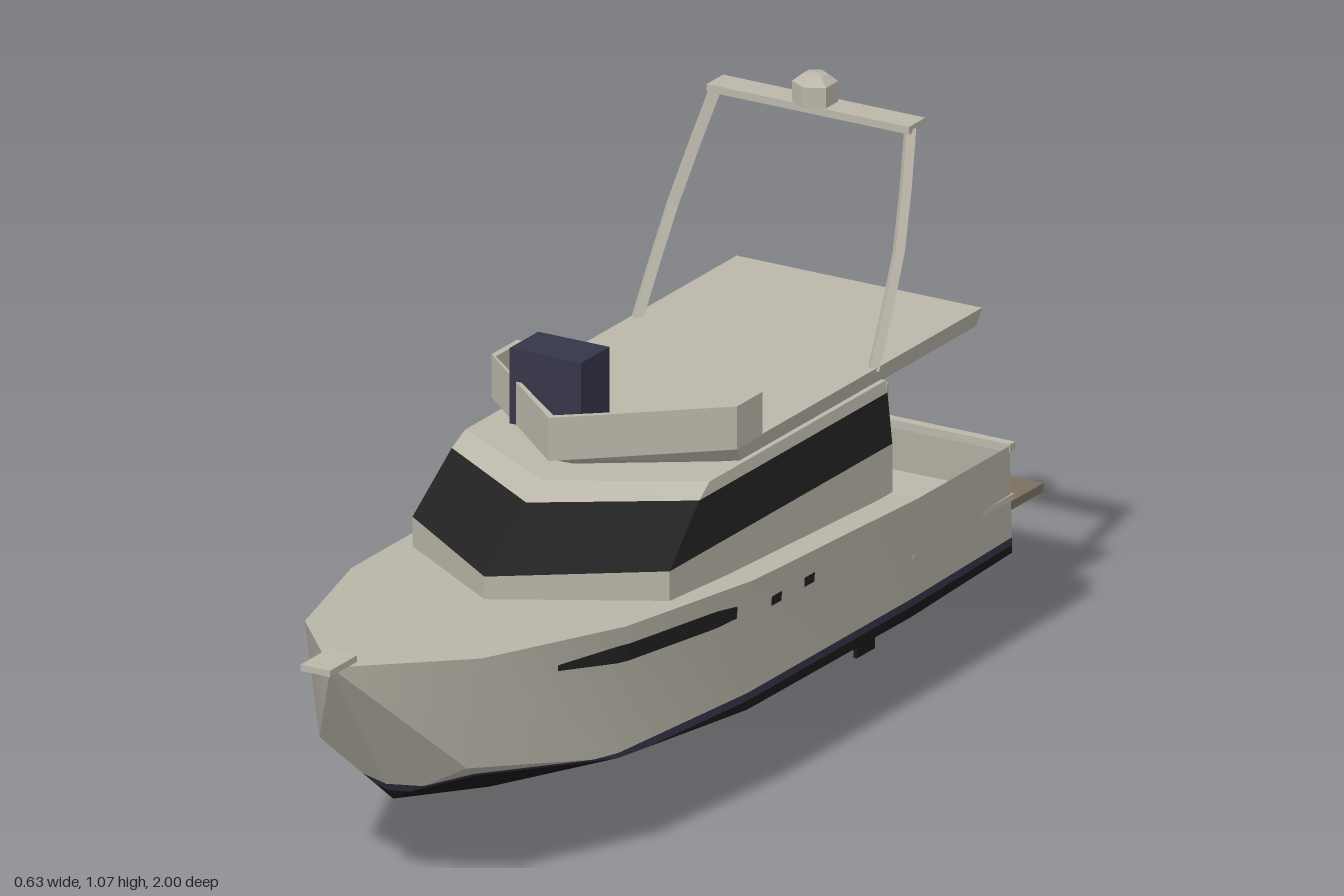
import * as THREE from 'three';
import { toCreasedNormals } from 'three/addons/utils/BufferGeometryUtils.js';

const mat = (name, color, side = THREE.FrontSide) => {
  const m = new THREE.MeshStandardMaterial({ color, side });
  m.name = name;
  return m;
};

// Hull stations from stern to bow: keel, chine and sheer points as [x, y, z]
const stations = [
  [[0, 0.08, -0.86], [0.29, 0.17, -0.855], [0.303, 0.38, -0.825]],
  [[0, 0.07, -0.5], [0.3, 0.165, -0.5], [0.314, 0.388, -0.5]],
  [[0, 0.067, 0.05], [0.3, 0.168, 0.05], [0.315, 0.412, 0.05]],
  [[0, 0.085, 0.42], [0.265, 0.19, 0.42], [0.28, 0.437, 0.42]],
  [[0, 0.165, 0.74], [0.15, 0.25, 0.74], [0.18, 0.46, 0.74]],
  [[0, 0.475, 0.95], [0, 0.475, 0.95], [0, 0.475, 0.95]],
];
const flip = ([x, y, z]) => [-x, y, z];

// Flat list of polygons -> geometry (fan triangulation)
function polyGeometry(polys) {
  const pos = [];
  for (const p of polys)
    for (let i = 1; i < p.length - 1; i++) pos.push(...p[0], ...p[i], ...p[i + 1]);
  const g = new THREE.BufferGeometry();
  g.setAttribute('position', new THREE.Float32BufferAttribute(pos, 3));
  g.computeVertexNormals();
  return g;
}

// Keep the part of a polygon where sign * (y - level) >= 0
function clip(poly, level, sign) {
  const out = [];
  poly.forEach((a, i) => {
    const b = poly[(i + 1) % poly.length];
    const da = sign * (a[1] - level), db = sign * (b[1] - level);
    if (da >= 0) out.push(a);
    if (da * db < 0) out.push(a.map((v, k) => v + (b[k] - v) * da / (da - db)));
  });
  return out;
}

// Stack of equal rings -> closed flat-faced solid
function loft(rings) {
  const polys = [rings[0], [...rings[rings.length - 1]].reverse()];
  for (let r = 0; r < rings.length - 1; r++)
    rings[r].forEach((p, i) => {
      const j = (i + 1) % rings[r].length;
      polys.push([p, rings[r + 1][i], rings[r + 1][j], rings[r][j]]);
    });
  return polyGeometry(polys);
}

// House-shaped plan with a pointed front
const ring = (h, y, back, corner, tip) =>
  [[h, y, back], [h, y, corner], [0, y, tip], [-h, y, corner], [-h, y, back]];

// Half-breadth of the topsides at a given z and y
function breadth(z, y) {
  let i = 0;
  while (i < stations.length - 2 && stations[i + 1][1][2] < z) i++;
  const [, c0, s0] = stations[i], [, c1, s1] = stations[i + 1];
  const t = (z - c0[2]) / (c1[2] - c0[2]);
  const c = c0.map((v, k) => v + (c1[k] - v) * t), s = s0.map((v, k) => v + (s1[k] - v) * t);
  return c[0] + (s[0] - c[0]) * (y - c[1]) / (s[1] - c[1]);
}

export function createModel() {
  const boat = new THREE.Group();
  boat.name = 'motorYacht';
  const white = mat('gelcoat', 0xbbb7aa);
  const skin = mat('hullGelcoat', 0xbbb7aa, THREE.DoubleSide);
  const black = mat('antifouling', 0x191919, THREE.DoubleSide);
  const glass = mat('darkGlass', 0x222222, THREE.DoubleSide);
  const navy = mat('navy', 0x36364a, THREE.DoubleSide);
  const teak = mat('teak', 0x7b7061);
  const metal = mat('runningGear', 0x55554f);

  const add = (name, geometry, material, x = 0, y = 0, z = 0) => {
    const m = new THREE.Mesh(geometry, material);
    m.name = name;
    m.position.set(x, y, z);
    boat.add(m);
    return m;
  };
  const box = (name, m, w, h, d, x, y, z) => add(name, new THREE.BoxGeometry(w, h, d), m, x, y, z);

  // Hull skin, split by height into bottom, boot stripe and topsides
  const faces = [];
  for (let i = 0; i < stations.length - 1; i++)
    for (let k = 0; k < 2; k++) {
      const a = stations[i], b = stations[i + 1];
      const q = [a[k], a[k + 1], b[k + 1], b[k]];
      for (const t of [[q[0], q[1], q[2]], [q[0], q[2], q[3]]])
        faces.push(t, t.map(flip).reverse());
    }
  const [k0, c0, s0] = stations[0];
  faces.push([k0, flip(c0), flip(s0), s0, c0]);
  const band = (lo, hi) => faces.map(f => clip(clip(f, lo, 1), hi, -1)).filter(f => f.length > 2);
  const hullPart = (name, lo, hi, m) => add(name, toCreasedNormals(polyGeometry(band(lo, hi)), 0.5), m);
  hullPart('hullBottom', -1, 0.185, black);
  hullPart('bootStripe', 0.185, 0.2, navy);
  hullPart('topsides', 0.2, 1, skin);

  // Foredeck and side decks, forward of the cockpit
  const deck = [];
  for (let i = 1; i < stations.length - 1; i++) {
    const a = stations[i][2], b = stations[i + 1][2];
    deck.push([a, flip(a), flip(b), b]);
  }
  add('deck', polyGeometry(deck), skin);

  // Cockpit
  box('cockpitFloor', white, 0.6, 0.01, 0.35, 0, 0.28, -0.67);
  box('cockpitBulkhead', white, 0.615, 0.11, 0.01, 0, 0.333, -0.497);
  box('transomCap', white, 0.61, 0.015, 0.018, 0, 0.376, -0.832);
  box('swimPlatform', teak, 0.53, 0.016, 0.16, 0, 0.24, -0.92);
  box('bowPulpit', white, 0.06, 0.012, 0.09, 0, 0.485, 0.955);

  // Cabin: base, window band, roof edge
  const low = ring(0.262, 0.39, -0.5, 0.245, 0.435), sill = ring(0.262, 0.48, -0.5, 0.245, 0.435);
  const head = ring(0.252, 0.573, -0.5, 0.13, 0.295), top = ring(0.249, 0.595, -0.5, 0.09, 0.235);
  add('cabinBase', loft([low, sill]), white);
  add('cabinWindows', loft([sill, head]), glass);
  add('cabinTop', loft([head, top]), white);
  box('cabinBackWall', white, 0.504, 0.2, 0.006, 0, 0.49, -0.502);

  // Flybridge floor with overhang, and its wraparound coaming
  add('flybridgeFloor', loft([
    ring(0.238, 0.592, -0.82, -0.03, 0.13), ring(0.25, 0.628, -0.82, 0, 0.215)]), white);
  const wall = new THREE.Shape([
    [0.25, 0.085], [0.25, 0], [0, -0.22], [-0.25, 0], [-0.25, 0.085],
    [-0.238, 0.085], [-0.238, -0.006], [0, -0.204], [0.238, -0.006], [0.238, 0.085],
  ].map(p => new THREE.Vector2(...p)));
  const coaming = new THREE.ExtrudeGeometry(wall, { depth: 0.08, bevelEnabled: false });
  coaming.rotateX(-Math.PI / 2);
  add('flybridgeCoaming', coaming, white, 0, 0.626, 0);
  box('helmConsole', navy, 0.145, 0.14, 0.095, -0.083, 0.696, 0.047);

  // Radar arch and dome
  for (const s of [-1, 1]) {
    const path = new THREE.CatmullRomCurve3([[0.241, 0.62, -0.47], [0.23, 0.81, -0.575], [0.198, 1, -0.665]]
      .map(([x, y, z]) => new THREE.Vector3(s * x, y, z)));
    const leg = new THREE.TubeGeometry(path, 4, 0.012, 4).toNonIndexed();
    leg.computeVertexNormals();
    add('archLeg', leg, white);
  }
  box('archBar', white, 0.412, 0.014, 0.055, 0, 1.003, -0.675);
  const dome = new THREE.LatheGeometry([[0, 0], [0.04, 0], [0.04, 0.038], [0.022, 0.052], [0, 0.056]]
    .map(p => new THREE.Vector2(...p)), 6).toNonIndexed();
  dome.computeVertexNormals();
  add('radarDome', dome, white, 0, 1.01, -0.672);

  // Hull windows and portholes laid on the topsides
  const pane = (name, z0, z1, lower, upper, steps) => {
    const polys = [];
    const at = (z, f) => [breadth(z, f(z)) + 0.004, f(z), z];
    for (let i = 0; i < steps; i++) {
      const a = z0 + (z1 - z0) * i / steps, b = z0 + (z1 - z0) * (i + 1) / steps;
      const q = [at(a, lower), at(a, upper), at(b, upper), at(b, lower)];
      polys.push(q, q.map(flip).reverse());
    }
    add(name, polyGeometry(polys), glass);
  };
  const mid = z => 0.367 + 0.066 * (z - 0.1);
  const half = z => 0.016 * Math.min(1, 0.35 + (0.57 - z) * 5, 0.7 + (z - 0.1) * 5);
  pane('hullWindow', 0.1, 0.57, z => mid(z) - half(z), z => mid(z) + half(z), 18);
  for (const z of [-0.025, -0.135])
    pane('porthole', z - 0.017, z + 0.017, () => 0.345, () => 0.363, 1);

  // Propeller shafts and rudders
  for (const s of [-1, 1]) {
    const shaft = new THREE.CylinderGeometry(0.005, 0.005, 0.57, 6);
    shaft.rotateX(Math.PI / 2 - 0.085);
    add('propellerShaft', shaft, metal, s * 0.093, 0.074, -0.32);
    box('rudder', black, 0.007, 0.13, 0.06, s * 0.093, 0.065, -0.683);
  }
  return boat;
}
